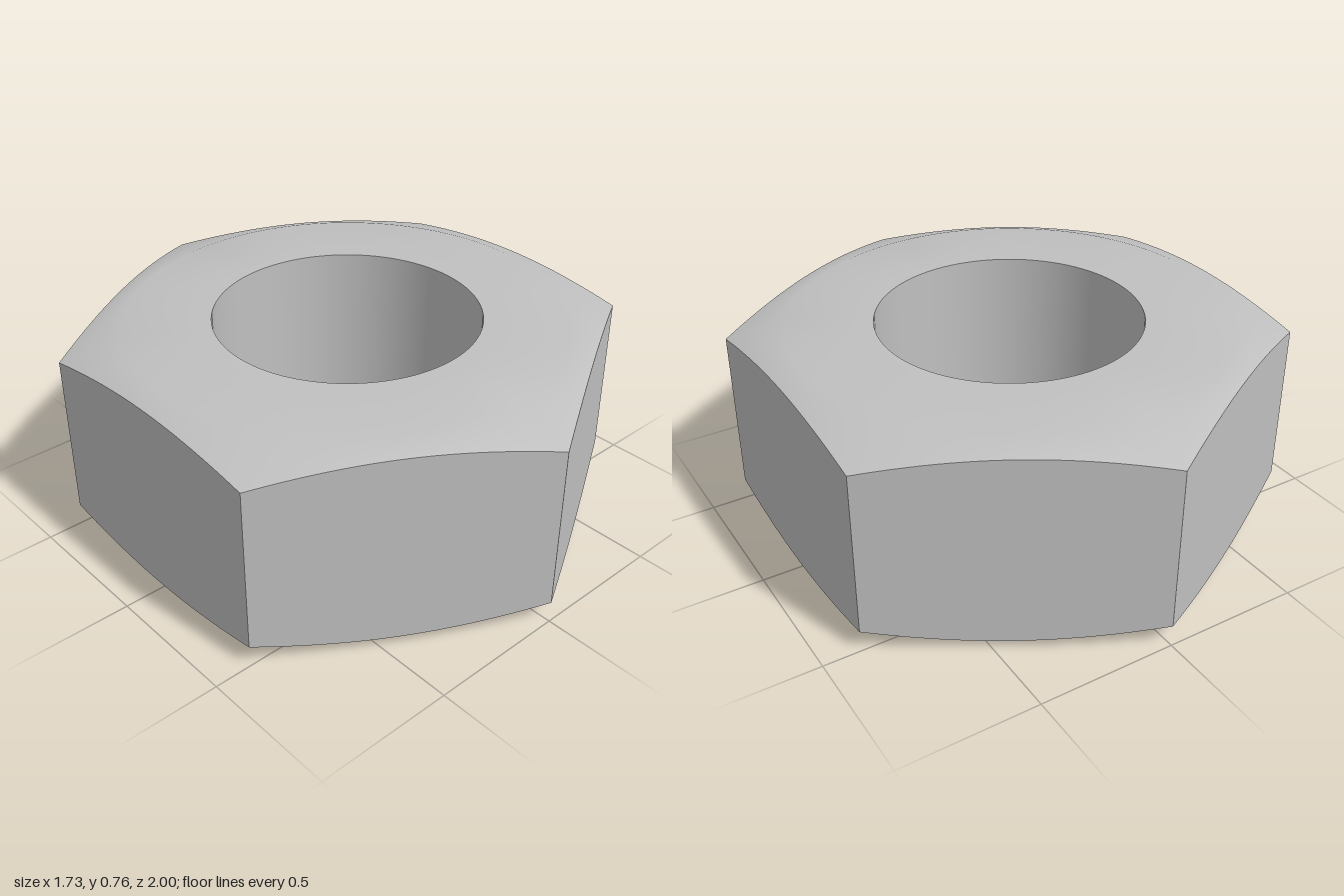
import * as THREE from 'three';

const SEGMENTS = 144;        // multiple of six, so corners fall on the grid
const HEIGHT = 0.76;
const BORE = 0.475;
const FACE = 0.78;           // radius of the flat ring inside the chamfer
const SLOPE = 0.08 / (1 - FACE);

// Radius of the hexagon at an angle, with corners on the z axis
function hexRadius(a) {
  const sector = Math.PI / 3;
  return Math.cos(sector / 2) / Math.cos((a % sector) - sector / 2);
}

// Rings are functions of angle giving [radius, y]
const circle = (r, y) => () => [r, y];
const hexBottom = (a) => [hexRadius(a), (hexRadius(a) - FACE) * SLOPE];
const hexTop = (a) => [hexRadius(a), HEIGHT - (hexRadius(a) - FACE) * SLOPE];

// Skin between successive closed rings
function skin(rings, flat = false) {
  const positions = [], index = [];
  rings.forEach((ring, i) => {
    for (let j = 0; j < SEGMENTS; j++) {
      const a = (j / SEGMENTS) * Math.PI * 2;
      const [r, y] = ring(a);
      positions.push(r * Math.sin(a), y, r * Math.cos(a));
      if (i === rings.length - 1) continue;
      const k = (j + 1) % SEGMENTS;
      const p = i * SEGMENTS, q = p + SEGMENTS;
      index.push(p + j, p + k, q + k, p + j, q + k, q + j);
    }
  });
  let geometry = new THREE.BufferGeometry();
  geometry.setAttribute('position', new THREE.Float32BufferAttribute(positions, 3));
  geometry.setIndex(index);
  if (flat) geometry = geometry.toNonIndexed();
  geometry.computeVertexNormals();
  return geometry;
}

export function createModel() {
  const steel = new THREE.MeshStandardMaterial({ color: 0xc0c0c0 });
  steel.name = 'steel grey';
  const nut = new THREE.Group();
  nut.name = 'hexNut';

  const add = (name, rings, flat) => {
    const mesh = new THREE.Mesh(skin(rings, flat), steel);
    mesh.name = name;
    nut.add(mesh);
  };

  // Six flat sides with arched edges where the chamfer cuts them
  add('hexSides', [hexBottom, hexTop], true);
  // Chamfer blending softly into the top face
  add('topFace', [hexTop, circle(FACE, HEIGHT), circle(BORE, HEIGHT)]);
  // Smooth hole through the middle
  add('bore', [circle(BORE, HEIGHT), circle(BORE, 0)]);
  // Flat bearing ring and its chamfer underneath
  add('bottomFace', [circle(BORE, 0), circle(FACE, 0)]);
  add('bottomChamfer', [circle(FACE, 0), hexBottom]);

  return nut;
}
